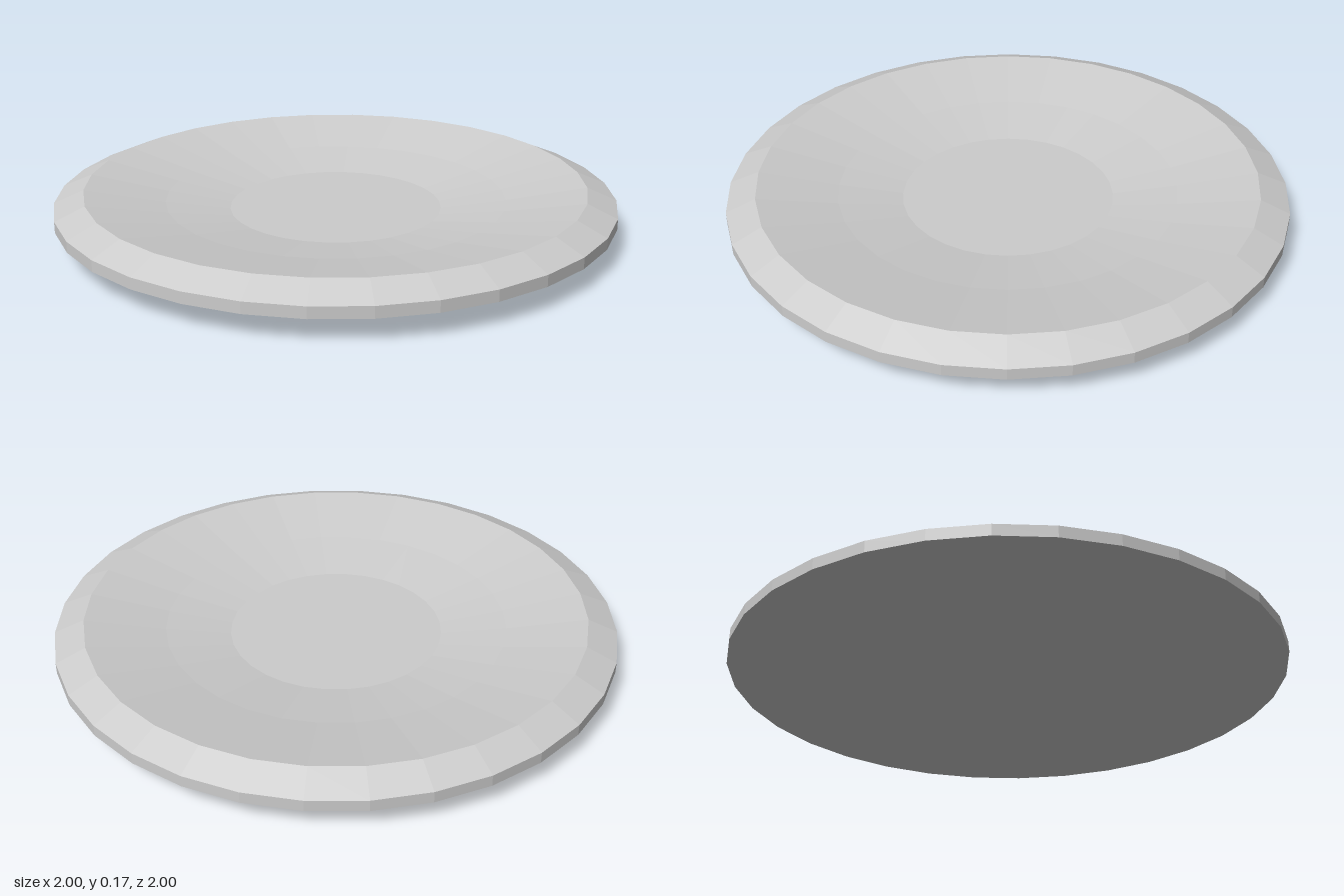
import * as THREE from 'three';

export function createModel() {
  const group = new THREE.Group();
  group.name = 'plate';
  const ceramic = new THREE.MeshStandardMaterial({ color: 0xcccccc, flatShading: true });
  ceramic.name = 'light grey ceramic';

  // Closed profile: underside outward, around the rim, then back into the dish
  const profile = [
    [0, 0], [0.39, 0], [0.61, 0.05], [0.81, 0.067], [0.89, 0.085], [1, 0.085],
    [1, 0.125], [0.895, 0.17], [0.61, 0.115], [0.38, 0.08], [0, 0.08],
  ].map(([r, y]) => new THREE.Vector2(r, y));

  const dish = new THREE.Mesh(new THREE.LatheGeometry(profile, 32), ceramic);
  dish.name = 'dish';
  group.add(dish);
  return group;
}
